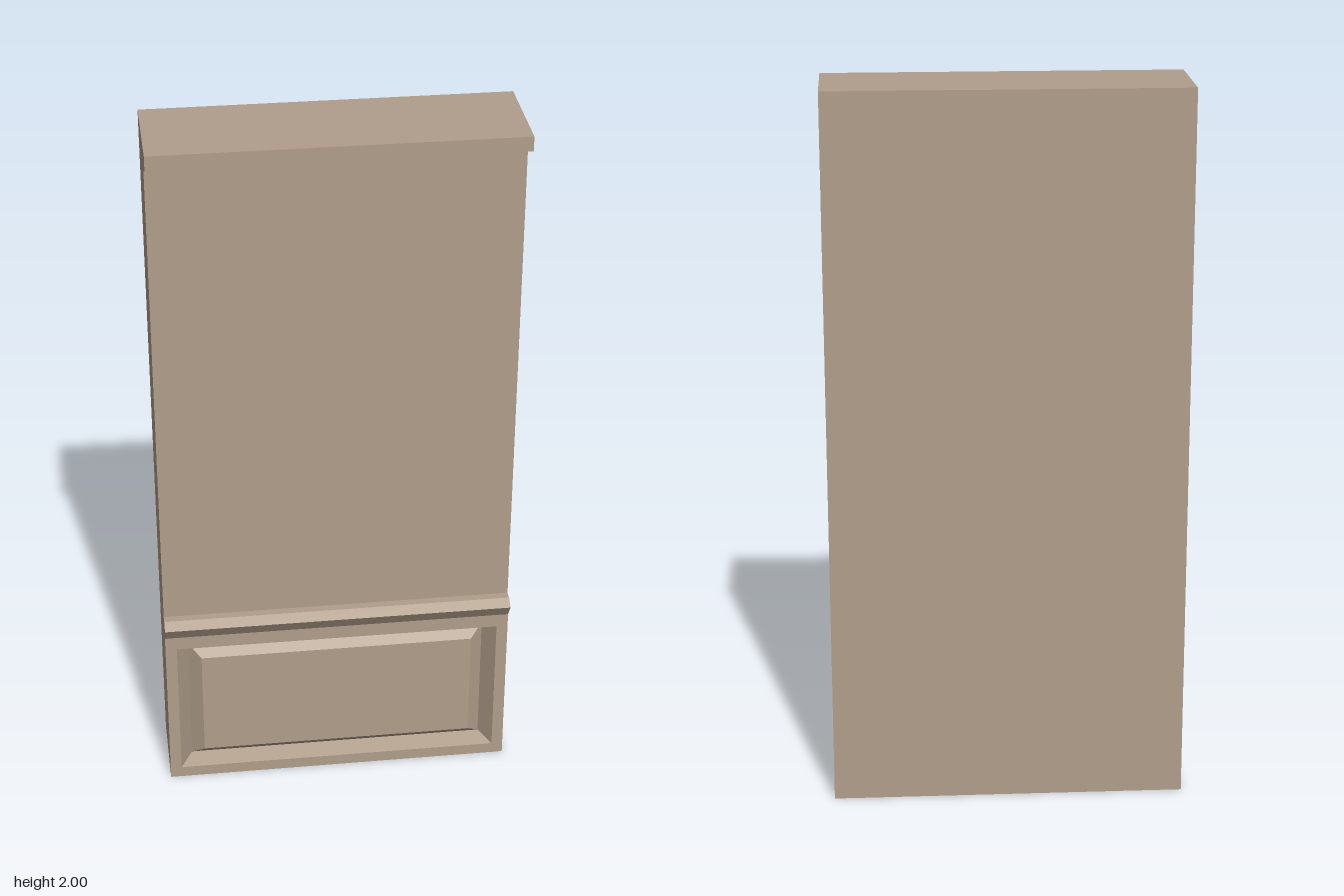
import * as THREE from 'three';

const HALF_WIDTH = 0.49;
const BACK = -0.145;

// Extrude a (z, y) side profile across the full width
function extrudeProfile(points) {
  const shape = new THREE.Shape(points.map(([z, y]) => new THREE.Vector2(z, y)));
  const geometry = new THREE.ExtrudeGeometry(shape, { depth: HALF_WIDTH * 2, bevelEnabled: false });
  return geometry.translate(0, 0, -HALF_WIDTH).rotateY(-Math.PI / 2);
}

// Join nested rectangles [halfWidth, bottom, top, z] with flat faces and cap the last
function loftRectangles(sections) {
  const rings = sections.map(([w, y0, y1, z]) => [[-w, y0, z], [w, y0, z], [w, y1, z], [-w, y1, z]]);
  const positions = [];
  const quad = (a, b, c, d) => positions.push(...a, ...b, ...c, ...a, ...c, ...d);
  for (let i = 0; i < rings.length - 1; i++) {
    for (let j = 0; j < 4; j++) {
      const k = (j + 1) % 4;
      quad(rings[i][j], rings[i][k], rings[i + 1][k], rings[i + 1][j]);
    }
  }
  quad(...rings[rings.length - 1]);
  const geometry = new THREE.BufferGeometry();
  geometry.setAttribute('position', new THREE.Float32BufferAttribute(positions, 3));
  geometry.computeVertexNormals();
  return geometry;
}

export function createModel() {
  const group = new THREE.Group();
  group.name = 'panelledWallSection';
  const material = new THREE.MeshStandardMaterial({ color: 0xb09e8b, flatShading: true });
  const add = (name, geometry) => {
    const mesh = new THREE.Mesh(geometry, material);
    mesh.name = name;
    group.add(mesh);
  };

  // Wall with chair rail and top cornice in one continuous profile
  add('wallWithMouldings', extrudeProfile([
    [BACK, 0], [0.03, 0], [0.03, 0.497],
    [0.095, 0.497], [0.124, 0.54], [0.098, 0.557], [0.074, 0.557], // chair rail
    [0.074, 1.93], [0.145, 1.96], [0.145, 2], // cornice
    [BACK, 2],
  ]));

  // Lower front: frame, sunken groove, bevelled raised panel
  add('wainscotPanel', loftRectangles([
    [HALF_WIDTH, 0, 0.497, 0.03],
    [HALF_WIDTH, 0, 0.497, 0.095],
    [0.458, 0.033, 0.457, 0.095],
    [0.424, 0.05, 0.441, 0.047],
    [0.388, 0.082, 0.407, 0.078],
  ]));

  return group;
}
